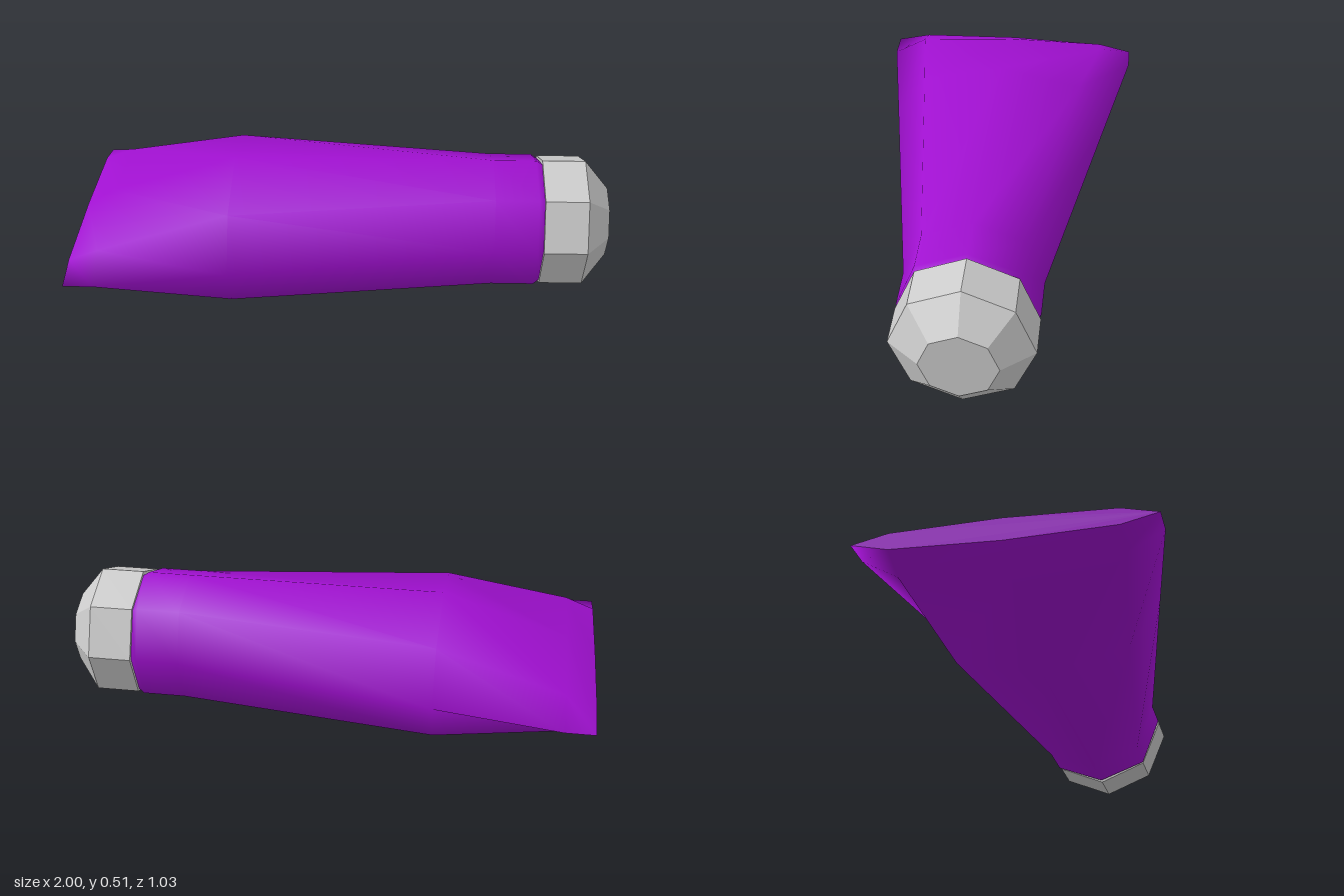
import * as THREE from 'three';

const CY = 0.257; // height of the long axis

// Stations along the tube: x, half height, half depth, depth of the diagonal corners
const STATIONS = [
  [0.75, 0.235, 0.235, 0.166],
  [0.722, 0.253, 0.254, 0.183],
  [0.56, 0.253, 0.254, 0.183],
  [-0.42, 0.253, 0.43, 0.315],
  [-0.89, 0.102, 0.515, 0.385],
  [-1, 0.042, 0.515, 0.385],
];

// Octagonal ring, running from +z towards +y
function ring([x, h, d, c]) {
  const k = h * 0.725;
  return [[0, d], [k, c], [h, 0], [k, -c], [0, -d], [-k, -c], [-h, 0], [-k, c]]
    .map(([y, z]) => [x, y, z]);
}

function geometryFrom(points, index) {
  const g = new THREE.BufferGeometry();
  g.setAttribute('position', new THREE.Float32BufferAttribute(points.flat(), 3));
  g.setIndex(index);
  g.computeVertexNormals();
  return g;
}

export function createModel() {
  const group = new THREE.Group();
  const purple = new THREE.MeshStandardMaterial({ color: 0xa010d0, side: THREE.DoubleSide });
  const grey = new THREE.MeshStandardMaterial({ color: 0xcccccc, flatShading: true });

  const add = (name, geometry, material, x = 0) => {
    const mesh = new THREE.Mesh(geometry, material);
    mesh.name = name;
    mesh.position.set(x, CY, 0);
    group.add(mesh);
    return mesh;
  };

  // Tube body, round at the neck and pinched flat at the far end
  const index = [];
  for (let s = 0; s < STATIONS.length - 1; s++) {
    for (let k = 0; k < 8; k++) {
      const a = s * 8 + k, a2 = s * 8 + (k + 1) % 8;
      index.push(a, a2, a2 + 8, a, a2 + 8, a + 8);
    }
  }
  add('tubeBody', geometryFrom(STATIONS.flatMap(ring), index), purple);

  // Thin flat face closing the crimped end
  const end = ring(STATIONS[STATIONS.length - 1]);
  const fan = [];
  for (let k = 1; k < 7; k++) fan.push(0, k, k + 1);
  add('crimpedEnd', geometryFrom(end, fan), purple);

  // Eight-sided screw cap: straight rim and chamfered tip
  const rim = add('capRim', new THREE.CylinderGeometry(0.254, 0.254, 0.162, 8), grey, 0.826);
  const tip = add('capTip', new THREE.CylinderGeometry(0.138, 0.254, 0.093, 8, 1), grey, 0.9535);
  for (const part of [rim, tip]) part.rotation.z = -Math.PI / 2;

  return group;
}
